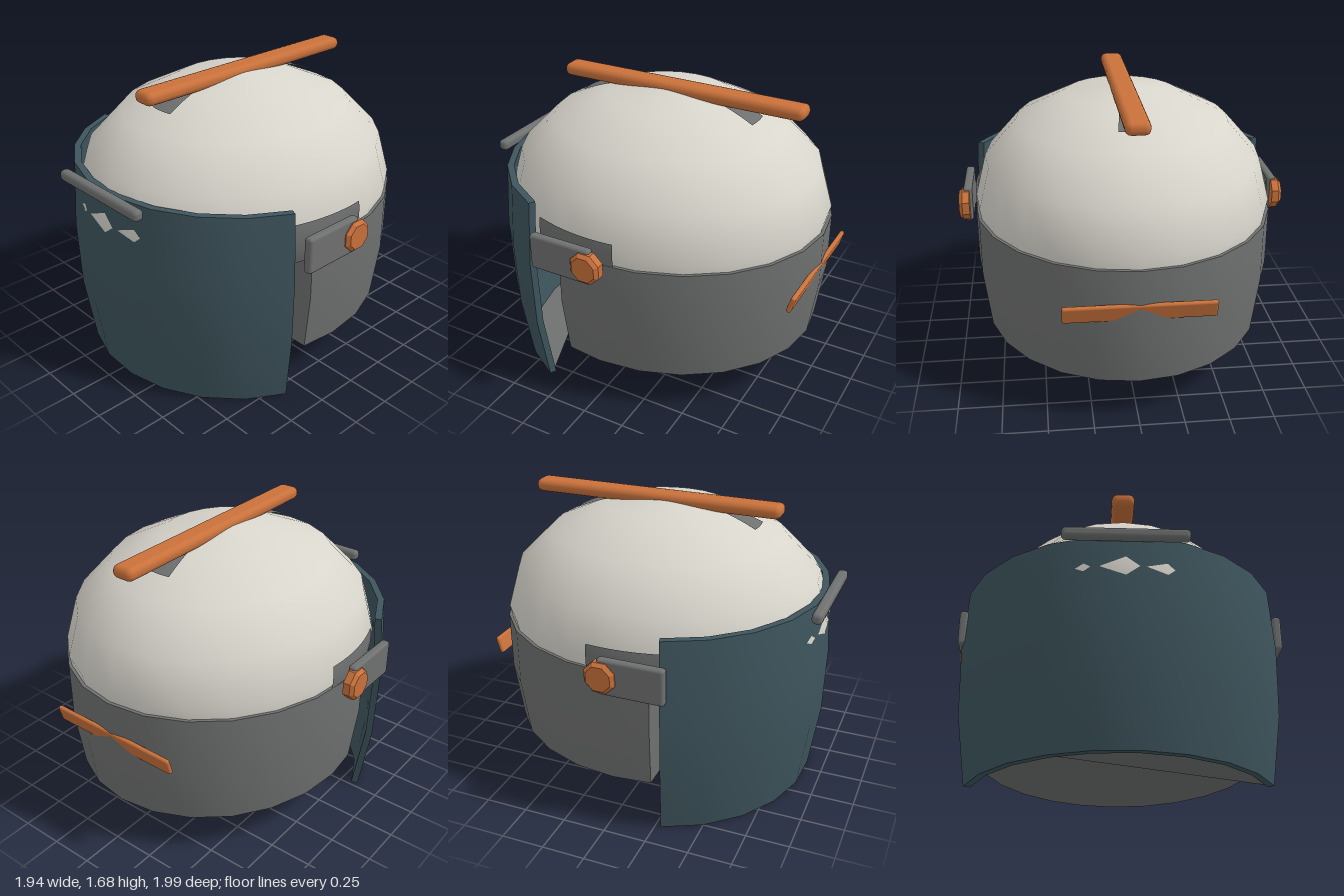
import * as THREE from 'three';
import { toCreasedNormals } from 'three/addons/utils/BufferGeometryUtils.js';
import { RoundedBoxGeometry } from 'three/addons/geometries/RoundedBoxGeometry.js';

const material = (name, color, side = THREE.FrontSide) => {
  const m = new THREE.MeshStandardMaterial({ color, side });
  m.name = name;
  return m;
};

export function createModel() {
  const white = material('shell white', 0xd8d5cc);
  const teal = material('visor teal', 0x3e555d, THREE.DoubleSide);
  const grey = material('trim grey', 0x6f7170, THREE.DoubleSide);
  const orange = material('accent orange', 0xc9713b);
  const group = new THREE.Group();
  const V2 = (x, y) => new THREE.Vector2(x, y);
  const rad = THREE.MathUtils.degToRad;

  const add = (name, geometry, mat, x = 0, y = 0, z = 0) => {
    const mesh = new THREE.Mesh(geometry, mat);
    mesh.name = name;
    mesh.position.set(x, y, z);
    group.add(mesh);
    return mesh;
  };
  const bar = (name, w, h, d, r, mat, x, y, z) =>
    add(name, new RoundedBoxGeometry(w, h, d, 2, r), mat, x, y, z);

  // Dome: squashed half ellipsoid, ending a little below its equator
  const RX = 0.868, RY = 0.65, RZ = 0.975, CY = 1.0, CZ = -0.011;
  const arc = [105, 90, 67.5, 45, 22.5, 0].map(a => V2(Math.sin(rad(a)), Math.cos(rad(a))));
  add('dome', new THREE.LatheGeometry(arc, 24), white, 0, CY, CZ).scale.set(RX, RY, RZ);
  const base = new THREE.CircleGeometry(0.966, 24).rotateX(Math.PI / 2);
  add('domeUnderside', base, grey, 0, 0.832, CZ).scale.set(RX, 1, RZ);

  // Thin grey areas on the dome: beside the hinges and under the ridge ends
  const patch = (name, phi, phiLen, theta, thetaLen) =>
    add(name, new THREE.SphereGeometry(1.003, 12, 8, phi, phiLen, theta, thetaLen), grey, 0, CY, CZ)
      .scale.set(RX, RY, RZ);
  patch('leftEarPatch', Math.PI - 0.4, 0.53, 1.45, 0.38);
  patch('rightEarPatch', -0.13, 0.53, 1.45, 0.38);
  for (const s of [1, -1]) patch('ridgeFootPatch', s * Math.PI / 2 - 0.15, 0.3, 0.38, 0.22);

  // Neck guard: rear of an ellipse, cut flat at the front and narrowing downwards
  const outline = [];
  for (let i = 0; i <= 14; i++) {
    const a = i === 0 ? -13.5 : i === 14 ? 193.5 : (i - 1) * 15;
    outline.push(V2(Math.cos(rad(a)) * RX * 1.008, Math.sin(rad(a)) * RZ * 1.008));
  }
  const guard = new THREE.ExtrudeGeometry(new THREE.Shape(outline),
    { depth: 0.69, steps: 2, bevelEnabled: false });
  guard.rotateX(-Math.PI / 2);
  const gp = guard.attributes.position;
  for (let i = 0; i < gp.count; i++) {
    const k = gp.getY(i) < 0.1 ? 0.952 : 1;
    gp.setX(i, gp.getX(i) * k);
    gp.setZ(i, gp.getZ(i) * k);
  }
  add('neckGuard', toCreasedNormals(guard, 0.6), grey, 0, 0.25, CZ);

  // Visor: a bowed band with thickness, turned very slightly to one side
  const T = 0.04;
  const outer = [[0.90, 0], [0.958, 0.4], [0.97, 0.8], [0.945, 1.19]].map(p => V2(...p));
  const inner = outer.map(p => V2(p.x - T, p.y)).reverse();
  const profile = [...outer, ...inner];
  const start = rad(-71.6), sweep = rad(137.9);
  const band = new THREE.LatheGeometry([...profile, profile[0].clone()], 9, start, sweep);
  add('visor', toCreasedNormals(band, 0.6), teal);
  for (const a of [start, start + sweep]) {
    const end = new THREE.ShapeGeometry(new THREE.Shape(profile));
    add('visorEnd', end, teal).rotation.y = a - Math.PI / 2;
  }

  // Plate closing part of the visor's lower edge
  const chin = [];
  for (let i = 0; i <= 6; i++) {
    const a = rad(66.3 - i * 15.32);
    chin.push(V2(Math.sin(a) * 0.88, Math.cos(a) * 0.88));
  }
  add('chinPlate', new THREE.ShapeGeometry(new THREE.Shape(chin)).rotateX(Math.PI / 2), grey, 0, 0.004, 0);

  // Bars on the crown, visor and back
  bar('crownRidge', 0.135, 0.076, 1.51, 0.035, orange, 0, 1.638, -0.085);
  bar('visorBar', 0.69, 0.064, 0.062, 0.024, grey, 0, 1.182, 0.967);
  bar('backBar', 0.82, 0.105, 0.028, 0.012, orange, 0, 0.697, -0.972).rotation.x = -0.28;

  // Hinge arms and eight-sided pivots
  const knob = [[0, -0.03], [0.095, -0.03], [0.095, 0.012], [0.075, 0.032], [0, 0.032]].map(p => V2(...p));
  for (const s of [1, -1]) {
    const side = s > 0 ? 'left' : 'right';
    bar(side + 'HingeArm', 0.052, 0.212, 0.38, 0.018, grey, s * 0.918, 0.945, 0.15);
    const pivot = toCreasedNormals(new THREE.LatheGeometry(knob, 8), 0.3);
    pivot.rotateY(Math.PI / 8);
    add(side + 'Pivot', pivot, orange, s * 0.938, 0.945, -0.018).rotation.z = -s * Math.PI / 2;
  }
  return group;
}
